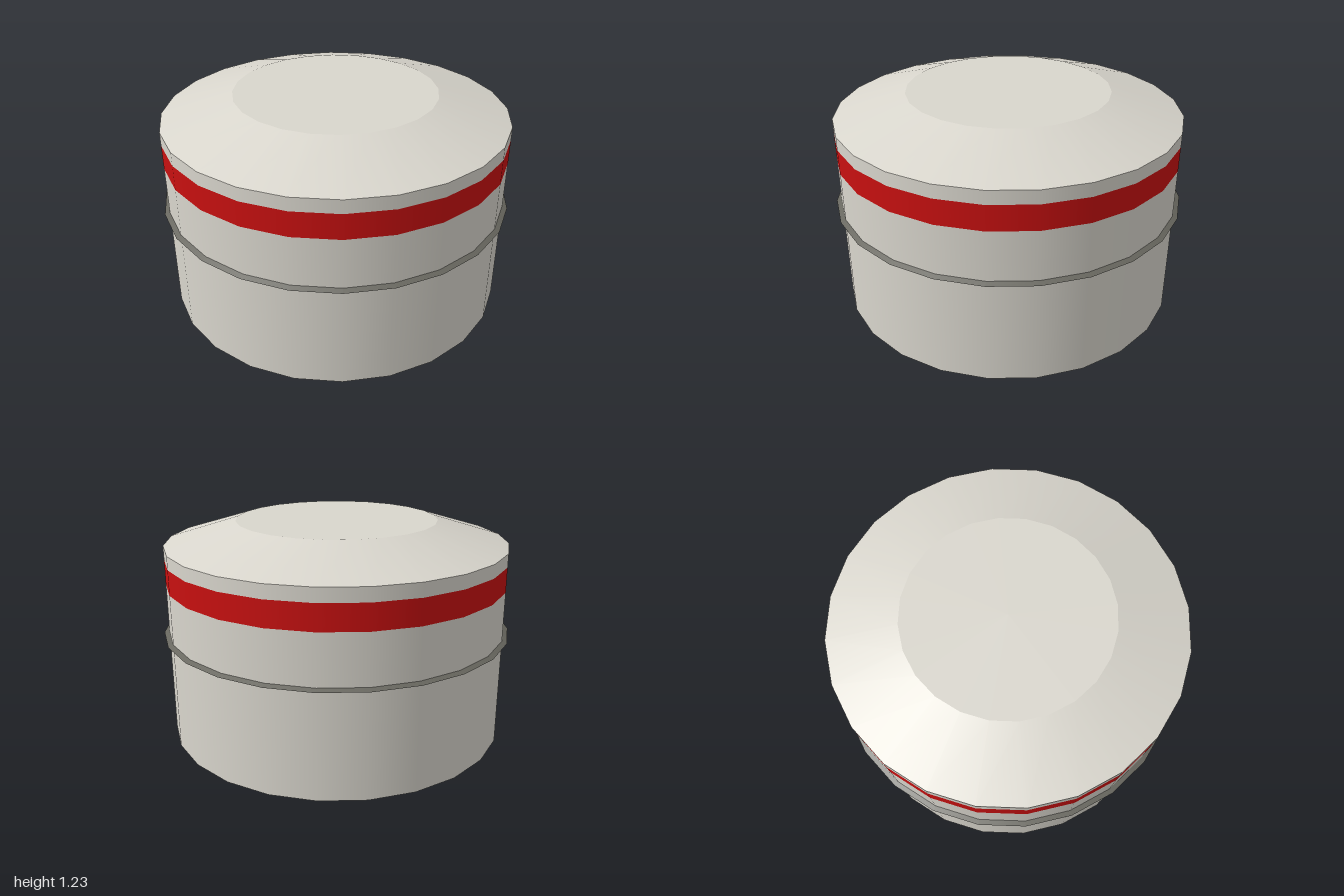
import * as THREE from 'three';

const SIDES = 24;
const RADIUS = 0.972;

export function createModel() {
  const group = new THREE.Group();
  const shell = new THREE.MeshStandardMaterial({ color: 0xd9d6cd, side: THREE.DoubleSide });
  shell.name = 'warm grey shell';
  const red = new THREE.MeshStandardMaterial({ color: 0xc81010, side: THREE.DoubleSide });
  red.name = 'red stripe';
  const dark = new THREE.MeshStandardMaterial({ color: 0x68675f });
  dark.name = 'dark grey plate';

  // Ring or disc section between two heights
  function section(name, material, y0, y1, r0, r1, open = true) {
    const geometry = new THREE.CylinderGeometry(r1, r0, y1 - y0, SIDES, 1, open);
    geometry.translate(0, (y0 + y1) / 2, 0);
    const mesh = new THREE.Mesh(geometry, material);
    mesh.name = name;
    group.add(mesh);
  }

  // Open-bottomed wall, split around the painted band
  section('lowerWall', shell, 0, 0.89, RADIUS, RADIUS);
  section('redBand', red, 0.89, 1.03, RADIUS, RADIUS);
  section('upperWall', shell, 1.03, 1.105, RADIUS, RADIUS);

  // Sloping shoulder and flat top
  section('shoulder', shell, 1.105, 1.23, RADIUS, 0.57);
  const top = new THREE.Mesh(new THREE.CircleGeometry(0.57, SIDES), shell);
  top.name = 'flatTop';
  top.rotation.x = -Math.PI / 2;
  top.position.y = 1.23;
  group.add(top);

  // Inner plate whose bevelled rim pokes through the wall
  section('innerPlate', dark, 0.6, 0.612, 1, RADIUS, false);

  return group;
}
